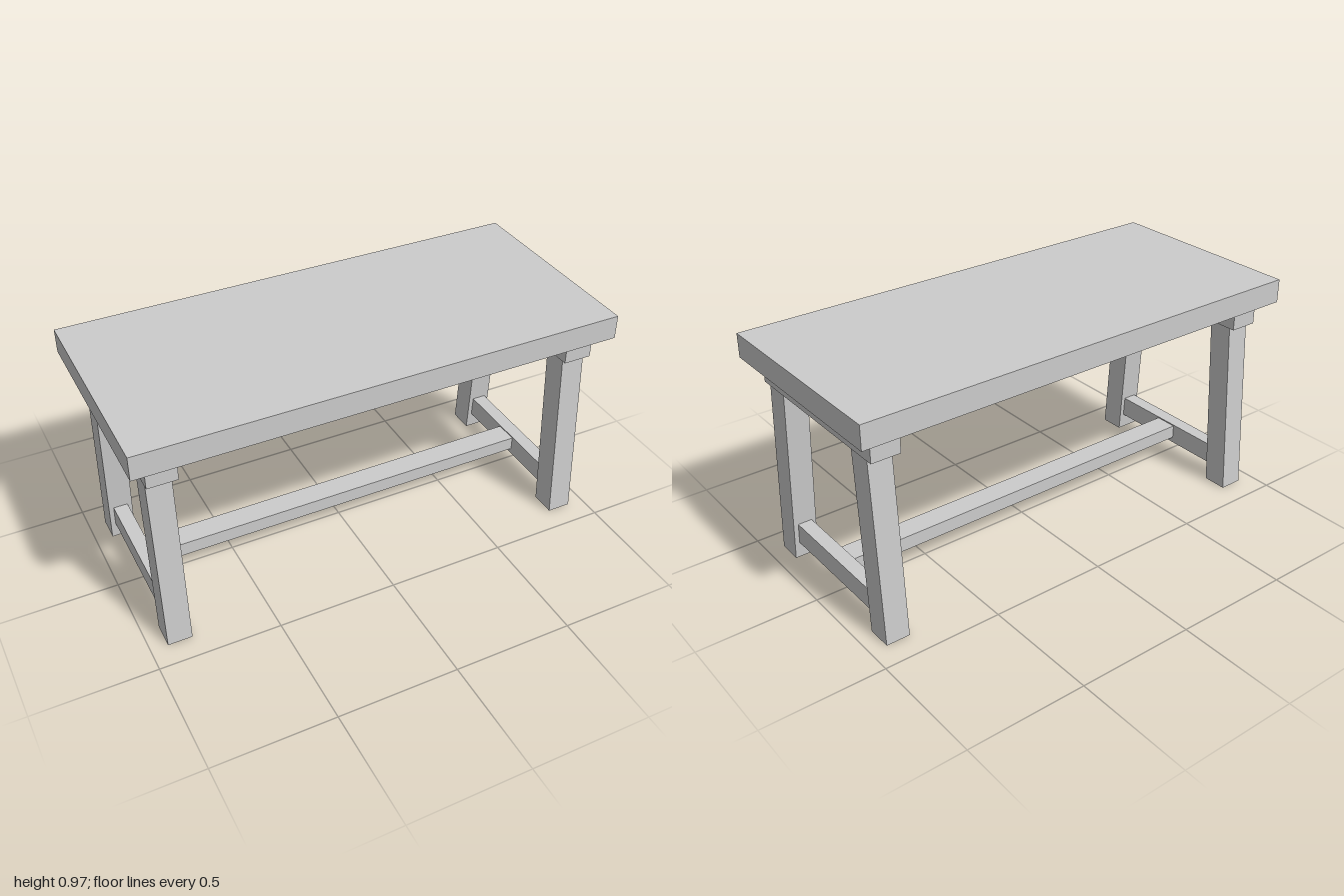
import * as THREE from 'three';

const material = new THREE.MeshStandardMaterial({ color: 0xcccccc, flatShading: true, side: THREE.DoubleSide });

// Box spanning [x0, x1], [y0, y1], [z0, z1]
function bar(name, [x0, x1], [y0, y1], [z0, z1]) {
  const geometry = new THREE.BoxGeometry(x1 - x0, y1 - y0, z1 - z0);
  geometry.translate((x0 + x1) / 2, (y0 + y1) / 2, (z0 + z1) / 2);
  const mesh = new THREE.Mesh(geometry, material);
  mesh.name = name;
  return mesh;
}

// Move z of every vertex by a rule of (z, y)
function shapeZ(mesh, rule) {
  const p = mesh.geometry.attributes.position;
  for (let i = 0; i < p.count; i++) p.setZ(i, rule(p.getZ(i), p.getY(i)));
  mesh.geometry.computeVertexNormals();
  return mesh;
}

const LEG_TOP = 0.77;
const SPLAY = 0.048 / LEG_TOP; // inward lean of the legs per unit of height

// Leaning leg, hollow at the foot
function leg(side, end) {
  const z = end > 0 ? [0.293, 0.398] : [-0.398, -0.293];
  const x = side > 0 ? [0.83, 0.93] : [-0.93, -0.83];
  const mesh = shapeZ(bar('leg', x, [0, LEG_TOP], z), (vz, y) => vz - end * SPLAY * y);
  const index = Array.from(mesh.geometry.index.array);
  index.splice(18, 6); // underside of the box
  mesh.geometry.setIndex(index);
  mesh.geometry.clearGroups();
  return mesh;
}

export function createModel() {
  const table = new THREE.Group();
  table.name = 'trestleTable';
  table.add(bar('tableTop', [-1, 1], [0.87, 0.97], [-0.443, 0.443]));

  // Everything below the top sits very slightly forward
  const base = new THREE.Group();
  base.name = 'base';
  base.position.z = 0.0025;
  table.add(base);

  for (const side of [-1, 1]) {
    const trestle = new THREE.Group();
    trestle.name = side > 0 ? 'leftTrestle' : 'rightTrestle';
    const span = (a, b) => (side > 0 ? [a, b] : [-b, -a]);
    trestle.add(bar('capBeam', span(0.815, 0.935), [LEG_TOP, 0.87], [-0.385, 0.385]));
    trestle.add(leg(side, 1), leg(side, -1));
    // Ends are cut to the slope of the legs
    trestle.add(shapeZ(bar('endStretcher', span(0.85, 0.91), [0.07, 0.16], [-0.293, 0.293]),
      (z, y) => z - Math.sign(z) * SPLAY * y));
    base.add(trestle);
  }

  // Rails joining the two trestles
  base.add(bar('longStretcher', [-0.85, 0.85], [0.095, 0.155], [-0.05, 0.05]));
  base.add(bar('topRail', [-0.815, 0.815], [0.83, 0.87], [-0.06, 0.06]));
  return table;
}
